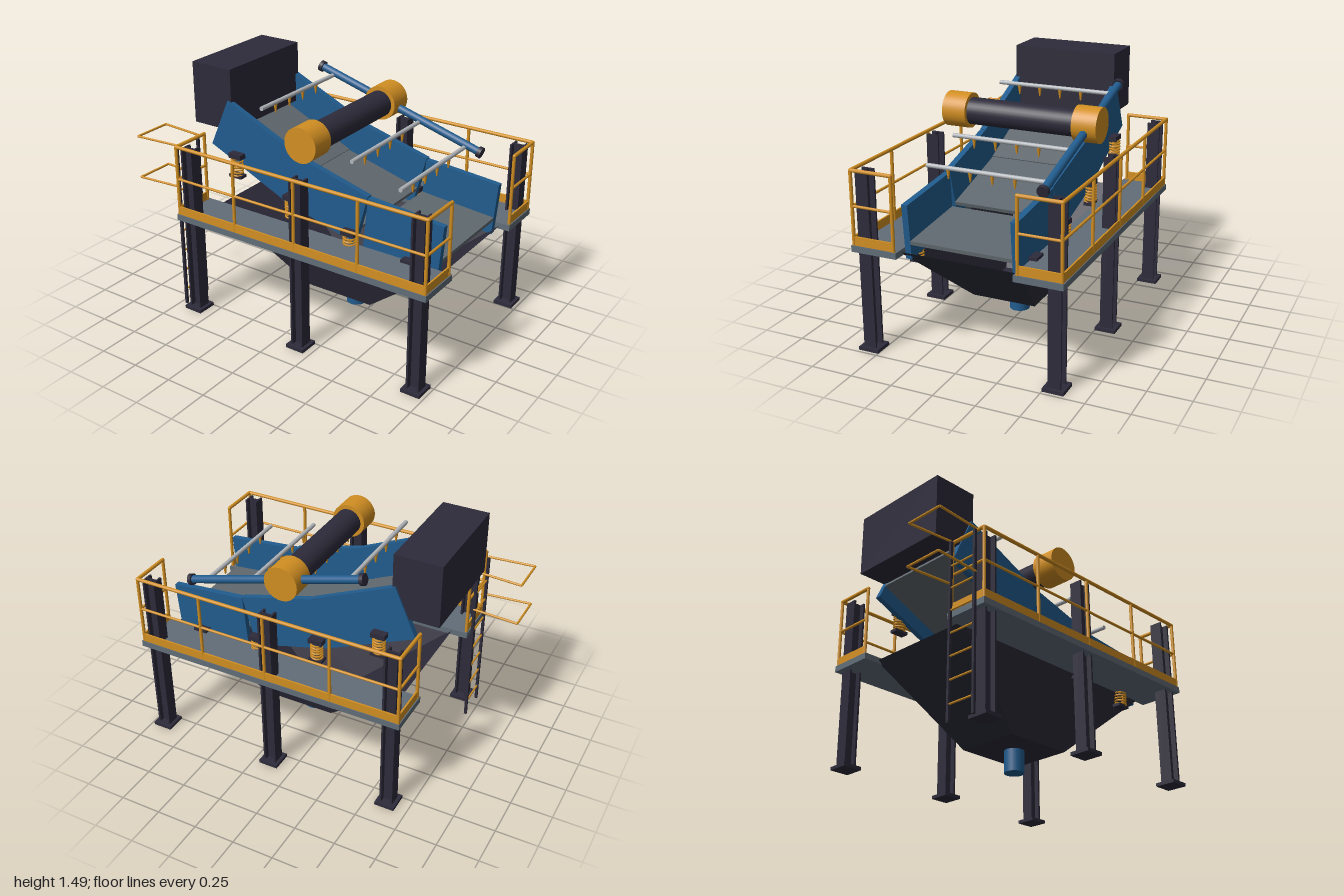
import * as THREE from 'three';

const mat = (name, color, side = THREE.FrontSide) => {
  const m = new THREE.MeshStandardMaterial({ color, side });
  m.name = name;
  return m;
};

export function createModel() {
  const root = new THREE.Group();
  root.name = 'vibratingScreenPlant';
  const blue = mat('blue paint', 0x215c8e);
  const dark = mat('dark steel', 0x2d2b3a, THREE.DoubleSide);
  const yellow = mat('safety yellow', 0xd28f22);
  const grey = mat('platform grey', 0x616d78);
  const deckGrey = mat('screen deck grey', 0x60696f);
  const light = mat('light pipe grey', 0xb2b6ba);

  const V = (x, y, z) => new THREE.Vector3(x, y, z);
  const group = (name, parent = root) => {
    const g = new THREE.Group();
    g.name = name;
    parent.add(g);
    return g;
  };
  const add = (name, geo, m, parent = root) => {
    const mesh = new THREE.Mesh(geo, m);
    mesh.name = name;
    parent.add(mesh);
    return mesh;
  };
  // Box given by its minimum and maximum along each axis
  const box = (name, m, [x0, x1], [y0, y1], [z0, z1], parent) => {
    const b = add(name, new THREE.BoxGeometry(x1 - x0, y1 - y0, z1 - z0), m, parent);
    b.position.set((x0 + x1) / 2, (y0 + y1) / 2, (z0 + z1) / 2);
    return b;
  };
  // Round bar from a to b
  const rod = (name, m, a, b, r, parent, sides = 10, rEnd = r) => {
    const d = b.clone().sub(a);
    const c = add(name, new THREE.CylinderGeometry(rEnd, r, d.length(), sides), m, parent);
    c.position.copy(a).addScaledVector(d, 0.5);
    c.quaternion.setFromUnitVectors(V(0, 1, 0), d.normalize());
    return c;
  };

  // H-section columns on base plates
  for (const x of [-0.62, 0.15, 0.92]) for (const s of [-1, 1]) {
    const col = group('column');
    col.position.set(x, 0, s * 0.562);
    box('basePlate', dark, [-0.06, 0.06], [0, 0.02], [-0.062, 0.062], col);
    box('columnWeb', dark, [-0.032, 0.032], [0.02, 1.06], [-0.006, 0.006], col);
    for (const f of [-1, 1]) {
      box('columnFlange', dark, [f * 0.034 - 0.006, f * 0.034 + 0.006], [0.02, 1.06], [-0.038, 0.038], col);
    }
  }

  // Walkways with handrails and toe boards
  const X0 = -0.683, X1 = 0.983, ZO = 0.612, ZI = 0.365;
  for (const s of [-1, 1]) {
    const walk = group('walkway');
    const zr = s > 0 ? [0.345, 0.625] : [-0.625, -0.345];
    box('walkwayFloor', grey, [-0.695, 0.995], [0.603, 0.64], zr, walk);
    const path = [V(X0, 0, s * ZI), V(X0, 0, s * ZO), V(X1, 0, s * ZO), V(X1, 0, s * ZI)];
    for (const [name, y, r] of [['topRail', 1.068, 0.011], ['midRail', 0.866, 0.008]]) {
      for (let i = 0; i < 3; i++) {
        rod(name, yellow, path[i].clone().setY(y), path[i + 1].clone().setY(y), r, walk);
      }
      for (const p of path) {
        add('railCorner', new THREE.SphereGeometry(r, 10, 8), yellow, walk).position.set(p.x, y, p.z);
      }
    }
    for (let i = 0; i < 5; i++) {
      const x = X0 + (X1 - X0) * i / 4;
      rod('railPost', yellow, V(x, 0.64, s * ZO), V(x, 1.068, s * ZO), 0.01, walk);
    }
    box('toeBoard', yellow, [X0, X1], [0.64, 0.692], [s * 0.615 - 0.005, s * 0.615 + 0.005], walk);
    for (const x of [X0, X1]) {
      rod('endPost', yellow, V(x, 0.64, s * ZI), V(x, 1.068, s * ZI), 0.01, walk);
      const e = s * (ZI + ZO) / 2;
      box('endToeBoard', yellow, [x - 0.005, x + 0.005], [0.64, 0.692], [e - 0.123, e + 0.123], walk);
    }
  }

  // Access ladder with safety hoops
  const ladder = group('ladder');
  for (const z of [0.388, 0.572]) {
    box('ladderStile', dark, [-0.722, -0.706], [0, 1.055], [z - 0.008, z + 0.008], ladder);
  }
  for (let i = 0; i < 7; i++) {
    const y = 0.1 + i * 0.1335;
    rod('rung', yellow, V(-0.714, y, 0.388), V(-0.714, y, 0.572), 0.006, ladder, 8);
  }
  for (const y of [0.797, 1.06]) {
    const p = [V(-0.71, y, 0.383), V(-0.993, y, 0.36), V(-0.993, y, 0.6), V(-0.71, y, 0.577)];
    for (let i = 0; i < 3; i++) rod('safetyHoop', yellow, p[i], p[i + 1], 0.007, ladder, 8);
  }

  // Tapered hopper, open at the top, with round outlet
  const hop = new THREE.BoxGeometry(1, 1, 1).toNonIndexed();
  const pos = hop.attributes.position;
  for (let i = 0; i < pos.count; i++) {
    const top = pos.getY(i) > 0;
    pos.setXYZ(i, 0.17 + Math.sign(pos.getX(i)) * (top ? 0.765 : 0.22), top ? 0.625 : 0.172,
      Math.sign(pos.getZ(i)) * (top ? 0.362 : 0.197));
  }
  hop.computeVertexNormals();
  const faces = [];
  for (let i = 0; i < pos.count; i++) if (i < 12 || i > 17) faces.push(i);
  hop.setIndex(faces);
  hop.clearGroups();
  add('hopper', hop, dark);
  rod('hopperOutlet', blue, V(0.17, 0.036, 0), V(0.17, 0.18, 0), 0.06, root, 24);

  // Three screen sections, each flatter than the last: [top corner x, y, length, slope]
  const H = 0.32;
  const sections = [[-0.515, 1.3, 0.56, 24], [-0.05, 1.082, 0.523, 15], [0.455, 0.938, 0.477, 5]];
  for (const [x, y, len, deg] of sections) {
    const sec = group('screenSection');
    sec.position.set(x, y, 0);
    sec.rotation.z = -deg * Math.PI / 180;
    for (const z of [-0.32, 0.32]) {
      box('sidePlate', blue, [0, len], [-H, 0], [z - 0.018, z + 0.018], sec);
    }
    box('screenDeck', deckGrey, [0, len], [-0.232, -0.21], [-0.305, 0.305], sec);
  }

  // Spring mounts: [x, top of pad]
  for (const [x, t] of [[-0.44, 1.0], [-0.05, 0.832], [0.35, 0.722], [0.742, 0.657]]) for (const s of [-1, 1]) {
    const mount = group('springMount');
    mount.position.set(x, t, s * 0.36);
    box('upperPad', dark, [-0.044, 0.044], [-0.03, 0], [-0.026, 0.026], mount);
    box('lowerPad', dark, [-0.044, 0.044], [-0.15, -0.132], [-0.026, 0.026], mount);
    const pts = [];
    for (let i = 0; i <= 72; i++) {
      const a = i / 72 * Math.PI * 12;
      pts.push(V(0.033 * Math.cos(a), -0.136 + 0.106 * i / 72, 0.033 * Math.sin(a)));
    }
    add('spring', new THREE.TubeGeometry(new THREE.CatmullRomCurve3(pts), 110, 0.006, 6), yellow, mount);
  }

  // Feed box and vibrating drive
  box('feedBox', dark, [-0.775, -0.495], [1.115, 1.49], [-0.328, 0.328]);
  const drive = group('vibratorDrive');
  rod('driveTube', dark, V(0.105, 1.212, -0.34), V(0.105, 1.212, 0.34), 0.08, drive, 32);
  for (const s of [-1, 1]) {
    rod('driveHousing', yellow, V(0.105, 1.214, s * 0.332), V(0.105, 1.214, s * 0.48), 0.104, drive, 40);
  }

  // Water pipe with end flanges, cross bars and nozzles
  const spray = group('sprayBars');
  const A = V(-0.36, 1.34, -0.405), B = V(0.75, 1.022, -0.405);
  const dir = B.clone().sub(A).normalize();
  rod('waterPipe', blue, A, B, 0.024, spray, 20);
  for (const p of [A, B]) {
    rod('pipeFlange', dark, p.clone().addScaledVector(dir, -0.012), p.clone().addScaledVector(dir, 0.012), 0.034, spray, 20);
  }
  for (const x of [-0.27, 0.04, 0.345, 0.655]) {
    const y = A.y + (x - A.x) * dir.y / dir.x - 0.012;
    rod('sprayBar', light, V(x, y, -0.405), V(x, y, 0.333), 0.013, spray, 14);
    for (const z of [-0.2, -0.066, 0.066, 0.2]) {
      rod('nozzle', yellow, V(x, y - 0.008, z), V(x, y - 0.062, z), 0.012, spray, 10, 0.004);
    }
  }
  return root;
}
